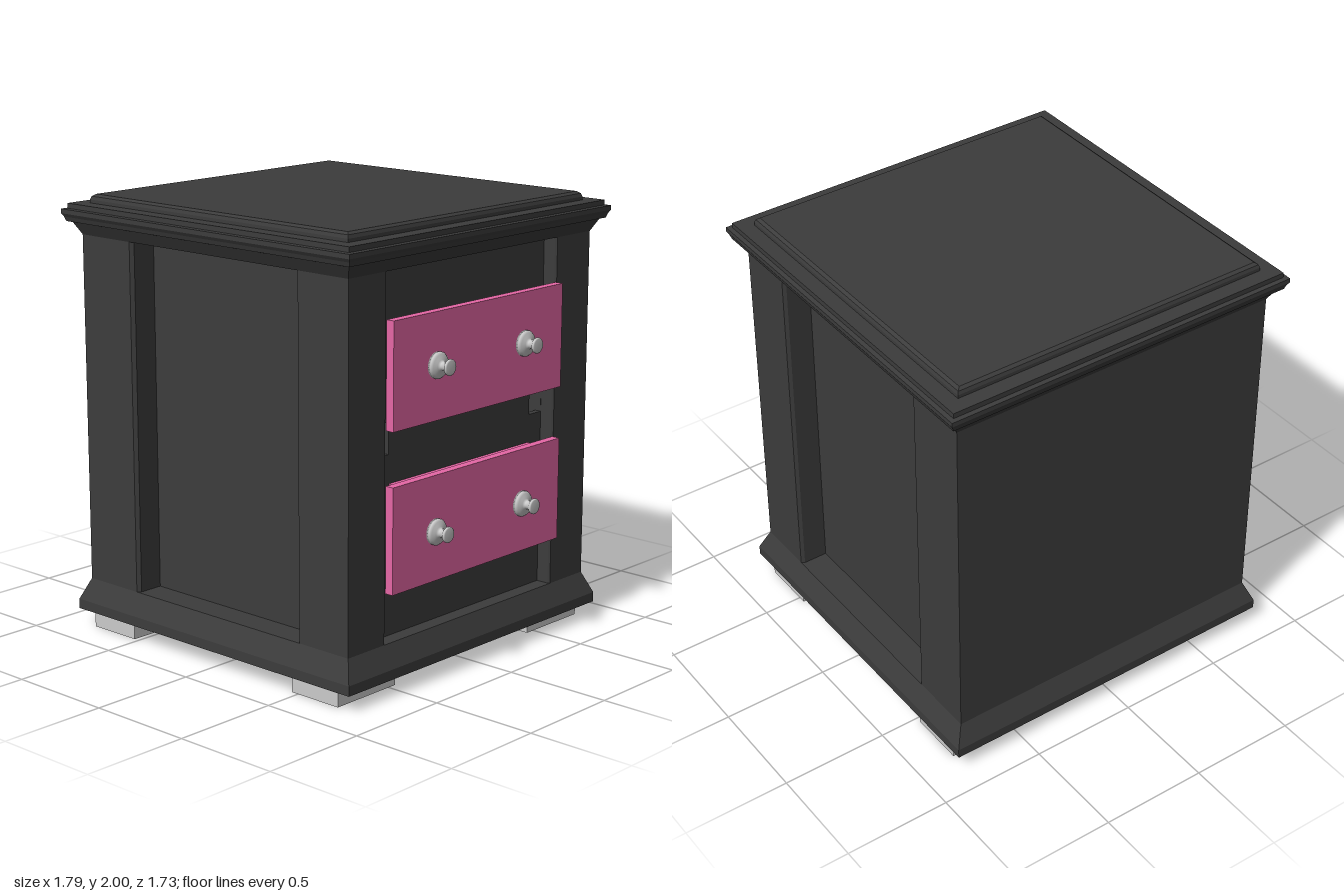
import * as THREE from 'three';

const dark = new THREE.MeshStandardMaterial({ color: 0x3c3c3c });
const pink = new THREE.MeshStandardMaterial({ color: 0xe667a6 });
const grey = new THREE.MeshStandardMaterial({ color: 0xcccccc });

const CX = -0.03; // centre of the cabinet in x, the knobs stick out past it
const HALF = 0.8; // half width of the carcass

function add(parent, name, geometry, material) {
  const mesh = new THREE.Mesh(geometry, material);
  mesh.name = name;
  parent.add(mesh);
  return mesh;
}

// Box given by its limits on each axis
function box(parent, name, material, [x0, x1], [y0, y1], [z0, z1]) {
  const mesh = add(parent, name, new THREE.BoxGeometry(x1 - x0, y1 - y0, z1 - z0), material);
  mesh.position.set((x0 + x1) / 2, (y0 + y1) / 2, (z0 + z1) / 2);
  return mesh;
}

// Square moulding: profile of [offset from the carcass, height], bottom to top
function moulding(parent, name, profile) {
  const pts = profile.map(([o, y]) => new THREE.Vector2(o <= -HALF ? 0 : (HALF + o) * Math.SQRT2, y));
  const g = new THREE.LatheGeometry(pts, 4, Math.PI / 4).toNonIndexed();
  g.computeVertexNormals();
  add(parent, name, g, dark).position.x = CX;
}

function polygon(points) {
  return new THREE.Shape(points.map(([x, y]) => new THREE.Vector2(x, y)));
}

function createCarcass(group) {
  // Plan outline with recessed side panels and an open drawer front
  const side = 0.67;
  const plan = [
    [-0.83, 0.8], [-0.525, 0.8], [-0.51, 0.785], [-0.51, side], [0.48, side], [0.48, 0.785], [0.49, 0.8], [0.77, 0.8],
    [0.77, 0.575], [0.76, 0.565], [0.55, 0.565], [0.55, -0.56], [0.76, -0.56], [0.77, -0.565],
    [0.77, -0.8], [0.49, -0.8], [0.48, -0.785], [0.48, -side], [-0.51, -side], [-0.51, -0.785], [-0.525, -0.8], [-0.83, -0.8],
  ];
  const body = new THREE.ExtrudeGeometry(polygon(plan.map(([x, z]) => [x, -z])), { depth: 1.6, bevelEnabled: false });
  body.rotateX(-Math.PI / 2).translate(0, 0.22, 0);
  add(group, 'carcass', body, dark);

  // Drawer-side panel with two notches beside the middle rail
  const panel = polygon([[-0.58, 0.22], [0.58, 0.22], [0.58, 1.82], [-0.58, 1.82]]);
  for (const [a, b] of [[-0.564, -0.475], [0.475, 0.559]]) {
    panel.holes.push(new THREE.Path([[a, 1.02], [a, 1.16], [b, 1.16], [b, 1.02]].map(([x, y]) => new THREE.Vector2(x, y))));
  }
  const plate = new THREE.ExtrudeGeometry(panel, { depth: 0.03, bevelEnabled: false });
  plate.rotateY(Math.PI / 2).translate(0.67, 0, 0);
  add(group, 'drawerSurround', plate, dark);
}

function createKnob() {
  const profile = [
    [0, 0], [0.058, 0], [0.058, 0.014], [0.05, 0.024], [0.026, 0.027],
    [0.019, 0.036], [0.02, 0.052], [0.035, 0.068], [0.035, 0.076], [0.03, 0.08], [0, 0.08],
  ].map(([r, h]) => new THREE.Vector2(r, h));
  return new THREE.LatheGeometry(profile, 24).rotateZ(-Math.PI / 2);
}

function createDrawer(y0, knobY) {
  const drawer = new THREE.Group();
  drawer.name = 'drawer';
  box(drawer, 'drawerFront', pink, [0.77, 0.81], [y0, y0 + 0.468], [-0.557, 0.57]);
  box(drawer, 'drawerBox', pink, [0.56, 0.775], [y0 - 0.012, y0 + 0.445], [-0.47, 0.47]);
  for (const z of [-0.29, 0.297]) {
    add(drawer, 'knob', createKnob(), grey).position.set(0.81, knobY, z);
  }
  return drawer;
}

export function createModel() {
  const group = new THREE.Group();
  group.name = 'nightstand';

  createCarcass(group);
  moulding(group, 'plinth', [[-HALF, 0.075], [0.043, 0.075], [0.043, 0.12], [0, 0.22], [-HALF, 0.22]]);
  moulding(group, 'cornice', [
    [-HALF, 1.82], [0, 1.82], [0.03, 1.875], [0.05, 1.88], [0.057, 1.9], [0.066, 1.915],
    [0.066, 1.935], [0.045, 1.937], [0.045, 1.96], [-HALF, 1.96],
  ]);
  moulding(group, 'topPanel', [
    [-HALF, 1.95], [-0.026, 1.95], [-0.026, 1.975], [-0.031, 1.99], [-0.045, 2], [-HALF, 2],
  ]);

  // Drawers, lower then upper
  group.add(createDrawer(0.447, 0.667), createDrawer(1.152, 1.392));

  // Block feet
  for (const x of [[-0.79, -0.525], [0.465, 0.73]]) {
    for (const z of [[0.46, 0.82], [-0.815, -0.455]]) box(group, 'foot', grey, x, [0, 0.08], z);
  }
  return group;
}
